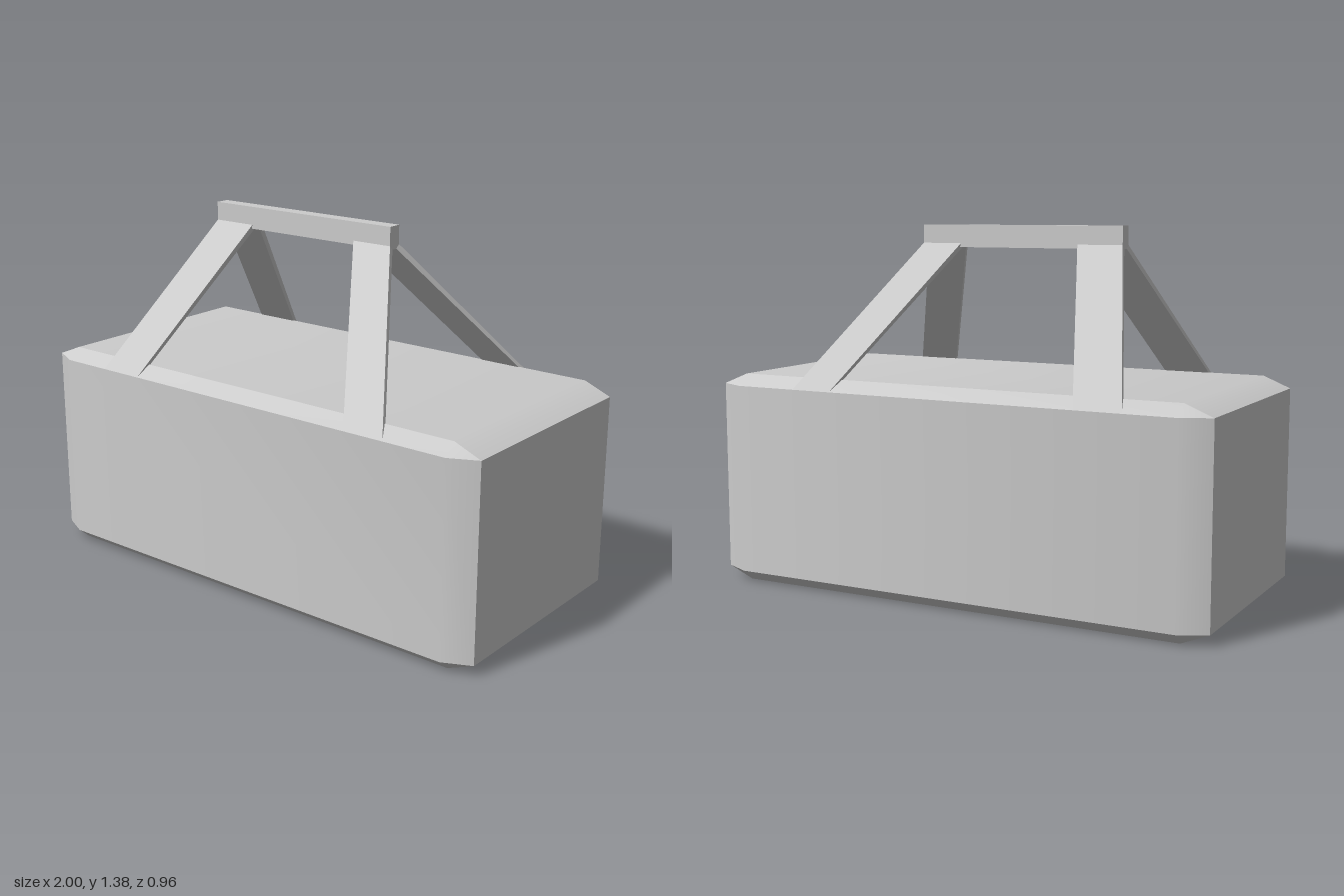
import * as THREE from 'three';
import { ConvexGeometry } from 'three/addons/geometries/ConvexGeometry.js';
import { toCreasedNormals } from 'three/addons/utils/BufferGeometryUtils.js';

const material = new THREE.MeshStandardMaterial({ color: 0xcccccc });

// Convex solid from corner points, smooth across bends under 30 degrees
function solid(name, points) {
  const geometry = toCreasedNormals(new ConvexGeometry(points), Math.PI / 6);
  const mesh = new THREE.Mesh(geometry, material);
  mesh.name = name;
  return mesh;
}

// Box with all edges bevelled: each corner becomes three points
function bevelledBox(name, half, bevel, centreY) {
  const points = [];
  for (const sx of [-1, 1]) for (const sy of [-1, 1]) for (const sz of [-1, 1]) {
    for (let axis = 0; axis < 3; axis++) {
      const [x, y, z] = half.map((h, i) => (i === axis ? h : h - bevel[i]));
      points.push(new THREE.Vector3(sx * x, centreY + sy * y, sz * z));
    }
  }
  return solid(name, points);
}

// Flat strap leaning from the body's long edge up to the handle
function strap(name, top, bottom, side) {
  const points = [];
  const ring = (xs, section) => {
    for (const x of xs) for (const [z, y] of section) points.push(new THREE.Vector3(x, y, side * z));
  };
  ring(top, [[0.027, 1.315], [0.012, 1.3]]);
  ring(bottom, [[0.48, 0.772], [0.466, 0.766]]);
  return solid(name, points);
}

export function createModel() {
  const model = new THREE.Group();
  model.name = 'basket';

  // Body
  model.add(bevelledBox('body', [1, 0.4075, 0.48], [0.105, 0.043, 0.05], 0.4075));

  // Handle bar, set slightly off centre
  const handle = new THREE.Mesh(new THREE.BoxGeometry(0.835, 0.085, 0.054), material);
  handle.name = 'handleBar';
  handle.position.set(-0.0825, 1.3425, 0);
  model.add(handle);

  // Four straps, mirrored front to back
  for (const [end, side] of [['front', 1], ['back', -1]]) {
    model.add(strap(end + 'RightStrap', [-0.5, -0.32], [-0.695, -0.515], side));
    model.add(strap(end + 'LeftStrap', [0.17, 0.335], [0.48, 0.645], side));
  }
  return model;
}
